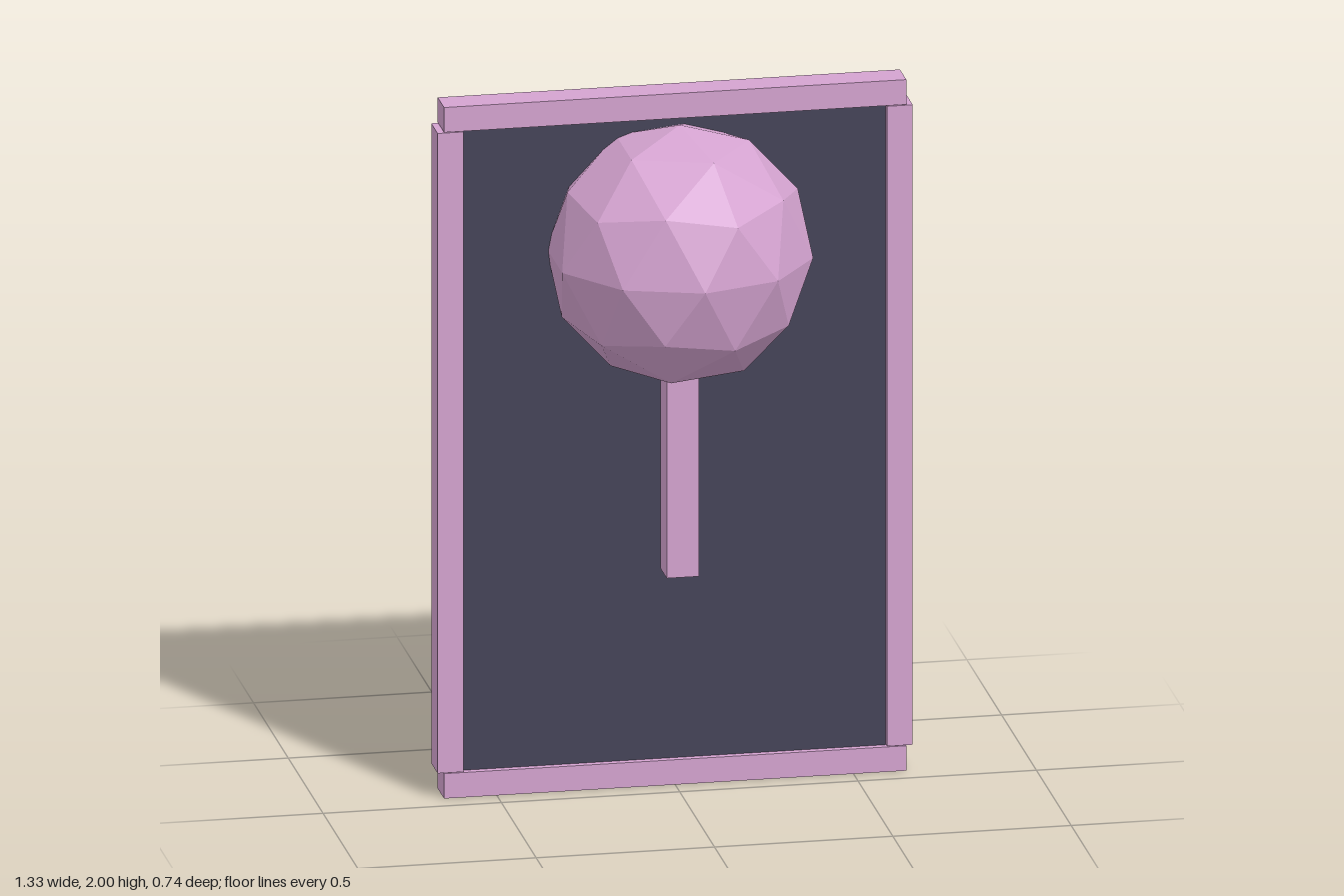
import * as THREE from 'three';

export function createModel() {
  const model = new THREE.Group();
  const lilac = new THREE.MeshStandardMaterial({ color: 0xd4a3d0, flatShading: true });
  lilac.name = 'lilac';
  const slate = new THREE.MeshStandardMaterial({ color: 0x454358, flatShading: true });
  slate.name = 'darkSlate';

  function add(name, geometry, material, x, y, z) {
    const mesh = new THREE.Mesh(geometry, material);
    mesh.name = name;
    mesh.position.set(x, y, z);
    model.add(mesh);
  }

  // Upright frame: side bars stand slightly proud of the top and bottom bars
  const frameZ = -0.111, depth = 0.092, bar = 0.072;
  for (const side of [-1, 1]) {
    add(side > 0 ? 'leftFrameBar' : 'rightFrameBar',
      new THREE.BoxGeometry(bar, 1.852, depth), lilac, side * 0.63, 1, frameZ);
    add(side > 0 ? 'topFrameBar' : 'bottomFrameBar',
      new THREE.BoxGeometry(1.296, bar, depth), lilac, 0, 1 + side * 0.964, frameZ);
  }

  // Dark panel, recessed a little on both faces
  add('panel', new THREE.BoxGeometry(1.2, 1.856, 0.052), slate, 0, 1, frameZ);

  // Faceted ball with a vertex at each pole, passing through the panel
  const ball = new THREE.IcosahedronGeometry(0.37, 1);
  ball.rotateX(-Math.atan((1 + Math.sqrt(5)) / 2));
  ball.rotateY(Math.PI / 2);
  add('ball', ball, lilac, 0, 1.56, 0);

  // Square stick below the ball
  add('stick', new THREE.BoxGeometry(0.09, 0.63, 0.09), lilac, 0, 0.95, 0);

  return model;
}
